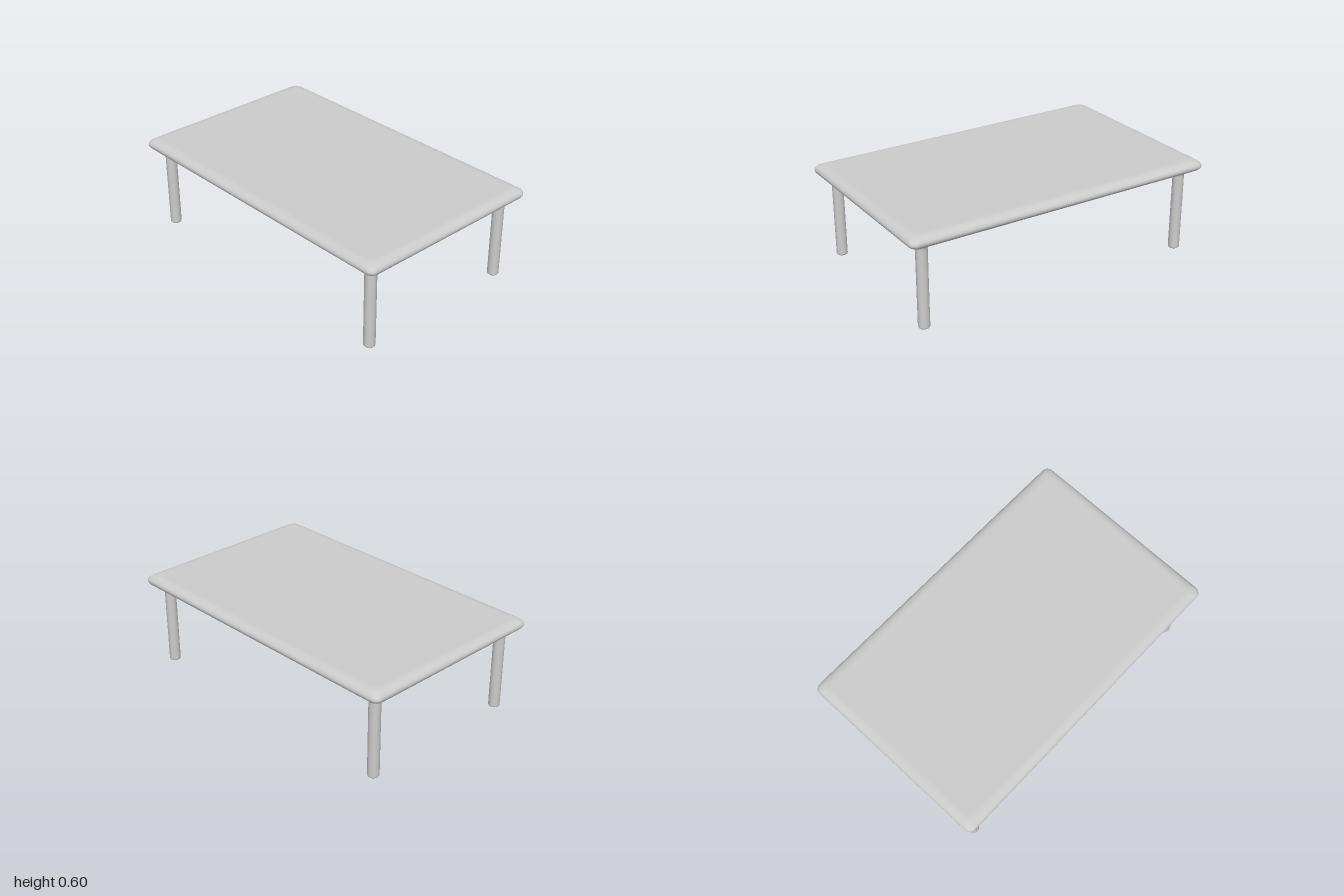
import * as THREE from 'three';

const material = new THREE.MeshStandardMaterial({ color: 0xcccccc });
const TOP = 0.597, UNDER = 0.523;

// Closed loop of a rounded rectangle in plan, as [x, z] pairs
function roundedRect(halfX, halfZ, radius, steps) {
  const loop = [];
  [[1, 1], [-1, 1], [-1, -1], [1, -1]].forEach(([sx, sz], q) => {
    for (let i = 0; i <= steps; i++) {
      const a = (q + i / steps) * Math.PI / 2;
      loop.push([sx * (halfX - radius) + radius * Math.cos(a), sz * (halfZ - radius) + radius * Math.sin(a)]);
    }
  });
  return loop;
}

// Slab skinned through stacked loops, with a soft bullnose edge all round
function slabGeometry() {
  const mid = (TOP + UNDER) / 2, half = (TOP - UNDER) / 2, bevel = 0.062, steps = 8;
  const rings = [];
  const addRing = (inset, y) =>
    rings.push(roundedRect(1 - inset, 0.625 - inset, 0.042, steps).map(([x, z]) => [x, y, z]));
  addRing(bevel + 0.02, UNDER);
  for (let i = 0; i <= 16; i++) {
    const a = (i / 16 - 0.5) * Math.PI;
    addRing(bevel * (1 - Math.cos(a)), mid + half * Math.sin(a));
  }
  addRing(bevel + 0.02, TOP);
  // Close underside and top to a centre point
  const n = rings[0].length;
  rings.unshift(Array.from({ length: n }, () => [0, UNDER, 0]));
  rings.push(Array.from({ length: n }, () => [0, TOP, 0]));

  const index = [];
  for (let r = 0; r < rings.length - 1; r++) {
    for (let i = 0; i < n; i++) {
      const j = (i + 1) % n, a = r * n, b = a + n;
      index.push(a + i, b + i, b + j, a + i, b + j, a + j);
    }
  }
  const geometry = new THREE.BufferGeometry();
  geometry.setAttribute('position', new THREE.Float32BufferAttribute(rings.flat(2), 3));
  geometry.setIndex(index);
  geometry.computeVertexNormals();
  return geometry;
}

// Leg with softened foot and a fillet flaring into the slab
function legGeometry() {
  const r = 0.033, foot = 0.012, flare = 0.034;
  const profile = [new THREE.Vector2(0, 0), new THREE.Vector2(0.015, 0)];
  for (let i = 0; i <= 5; i++) {
    const a = i / 5 * Math.PI / 2;
    profile.push(new THREE.Vector2(r - foot + foot * Math.sin(a), foot - foot * Math.cos(a)));
  }
  profile.push(new THREE.Vector2(r, 0.03));
  for (let i = 0; i <= 8; i++) {
    const a = i / 8 * Math.PI / 2;
    profile.push(new THREE.Vector2(r + flare * (1 - Math.cos(a)), UNDER - flare + flare * Math.sin(a)));
  }
  const geometry = new THREE.LatheGeometry(profile, 32);
  // Very slightly squared cross-section
  const p = geometry.attributes.position;
  for (let i = 0; i < p.count; i++) {
    const a = Math.atan2(p.getZ(i), p.getX(i));
    const k = 1 + 0.05 * Math.sin(2 * a) ** 2;
    p.setX(i, p.getX(i) * k);
    p.setZ(i, p.getZ(i) * k);
  }
  return geometry;
}

export function createModel() {
  const table = new THREE.Group();
  table.name = 'table';

  const top = new THREE.Mesh(slabGeometry(), material);
  top.name = 'tableTop';
  table.add(top);

  const legShape = legGeometry();
  for (const [zName, z] of [['front', 0.52], ['back', -0.52]]) {
    for (const [xName, x] of [['Left', 0.89], ['Right', -0.89]]) {
      const leg = new THREE.Mesh(legShape, material);
      leg.name = `${zName}${xName}Leg`;
      leg.position.set(x, 0, z);
      table.add(leg);
    }
  }
  return table;
}
